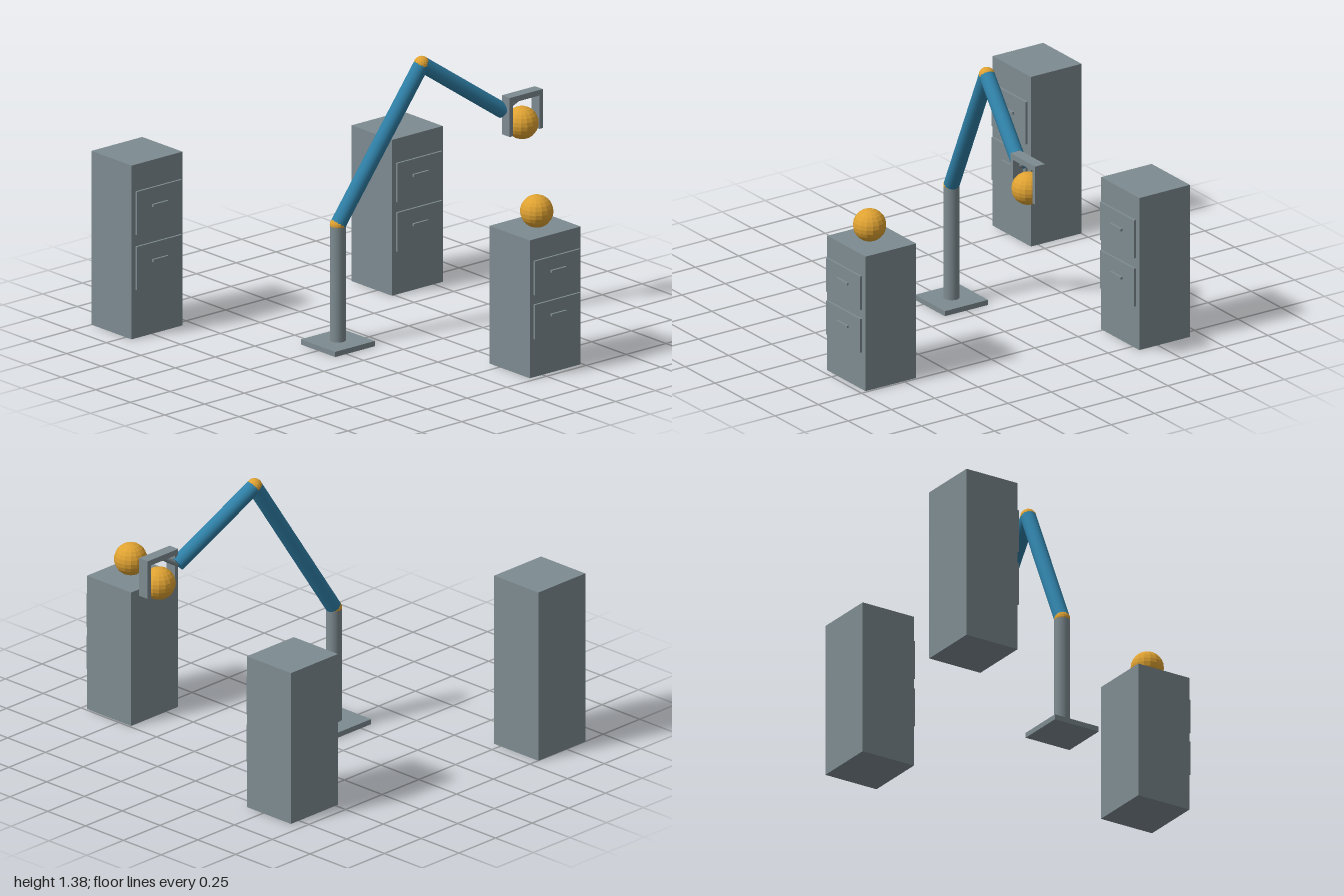
import * as THREE from 'three';

const material = (name, color, flatShading = false) => {
  const m = new THREE.MeshStandardMaterial({ color, flatShading });
  m.name = name;
  return m;
};

export function createModel() {
  const model = new THREE.Group();
  model.name = 'robotArmWithCabinets';
  const grey = material('steelGrey', 0x7d8b90);
  const blue = material('armBlue', 0x2f7fa6);
  const gold = material('goldenYellow', 0xdfa232, true);

  const add = (parent, name, geometry, mat, x, y, z) => {
    const mesh = new THREE.Mesh(geometry, mat);
    mesh.name = name;
    mesh.position.set(x, y, z);
    parent.add(mesh);
    return mesh;
  };
  const box = (parent, name, w, h, d, x, y, z) =>
    add(parent, name, new THREE.BoxGeometry(w, h, d), grey, x, y, z);
  const ball = (parent, name, r, p) =>
    add(parent, name, new THREE.SphereGeometry(r, 16, 12), gold, p.x, p.y, p.z);

  // Round bar between two points
  const bar = (parent, name, a, b, r, mat) => {
    const dir = b.clone().sub(a);
    const mid = a.clone().add(b).multiplyScalar(0.5);
    const mesh = add(parent, name, new THREE.CylinderGeometry(r, r, dir.length(), 24), mat, mid.x, mid.y, mid.z);
    mesh.quaternion.setFromUnitVectors(new THREE.Vector3(0, 1, 0), dir.normalize());
  };

  // Filing cabinets: x centre, front face z, height
  const cabinets = [[-0.717, -0.709, 0.87], [0.645, -0.393, 0.78], [0.33, 0.97, 0.69]];
  for (const [x, front, h] of cabinets) {
    const cabinet = new THREE.Group();
    cabinet.name = 'cabinet';
    cabinet.position.set(x, 0, front);
    model.add(cabinet);
    box(cabinet, 'cabinetBody', 0.32, h, 0.292, 0, h / 2, -0.146);
    for (const level of [0.725, 0.408]) {
      box(cabinet, 'drawerFront', 0.284, 0.25 * h, 0.011, 0, level * h, 0.0135);
      box(cabinet, 'drawerHandle', 0.094, 0.016 * h, 0.011, 0, (level + 0.023) * h, 0.0245);
    }
  }

  // Pedestal and jointed arm
  const arm = new THREE.Group();
  arm.name = 'robotArm';
  model.add(arm);
  const foot = new THREE.Vector3(-0.195, 0.02, 0);
  const shoulder = new THREE.Vector3(-0.195, 0.605, 0);
  const elbow = new THREE.Vector3(0.245, 1.338, 0.1);
  const wrist = new THREE.Vector3(0.668, 1.037, 0.2);
  const palm = new THREE.Vector3(0.768, 1.1, 0.226);
  box(arm, 'basePlate', 0.25, 0.026, 0.25, -0.195, 0.013, 0);
  bar(arm, 'column', foot, shoulder, 0.038, grey);
  ball(arm, 'shoulderJoint', 0.039, shoulder);
  bar(arm, 'upperArm', shoulder, elbow, 0.038, blue);
  ball(arm, 'elbowJoint', 0.039, elbow);
  bar(arm, 'forearm', elbow, wrist, 0.038, blue);
  bar(arm, 'wristRod', wrist, palm, 0.013, grey);

  // Gripper holding a ball
  box(arm, 'gripperPalm', 0.208, 0.028, 0.057, palm.x, palm.y, palm.z);
  for (const side of [-1, 1])
    box(arm, 'gripperFinger', 0.022, 0.17, 0.057, palm.x + side * 0.093, 1.004, palm.z);
  ball(arm, 'heldBall', 0.08, new THREE.Vector3(palm.x, 0.962, 0.224));

  // Ball resting on the front cabinet
  ball(model, 'restingBall', 0.08, new THREE.Vector3(0.33, 0.769, 0.836));

  return model;
}
